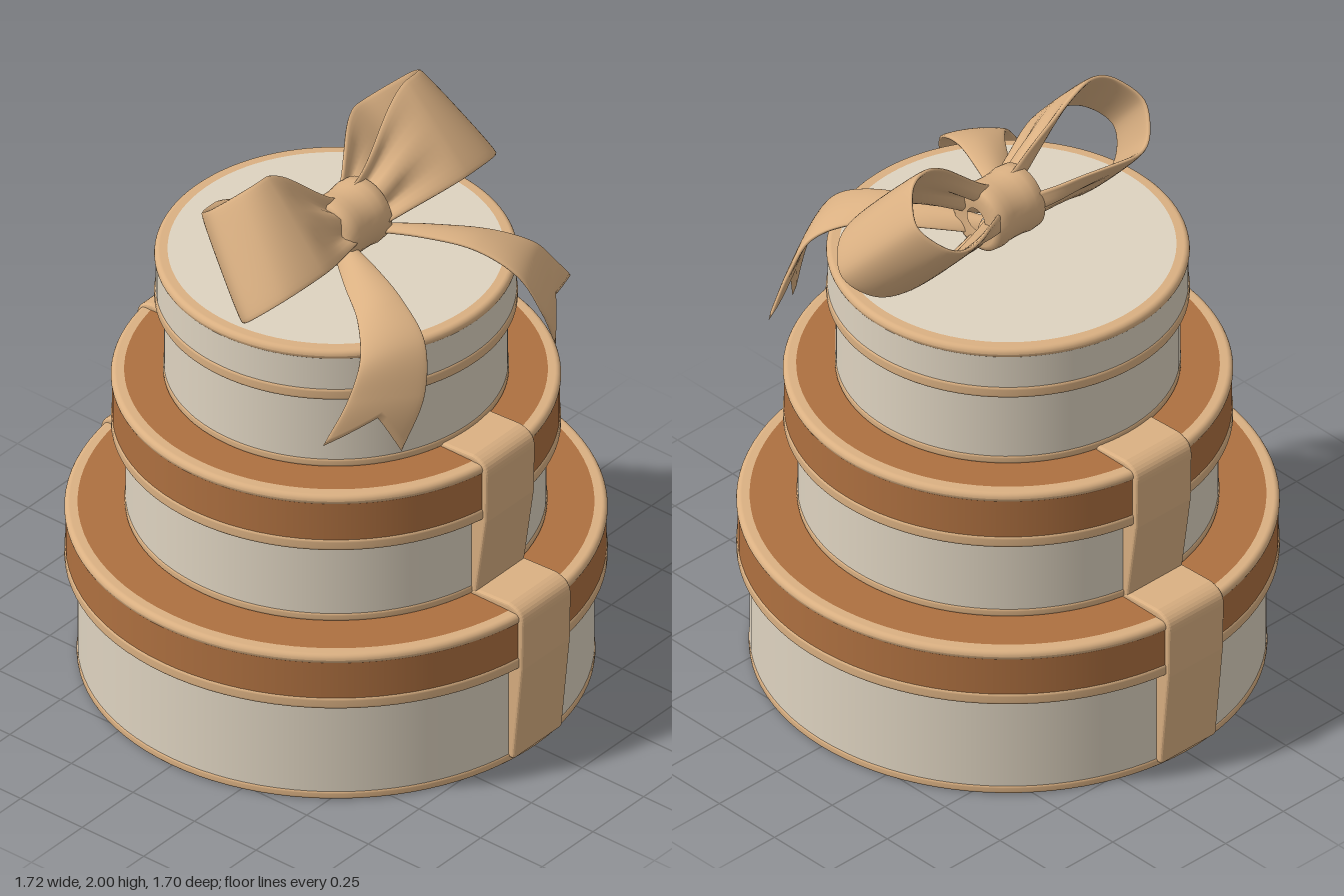
import * as THREE from 'three';
import { ParametricGeometry } from 'three/addons/geometries/ParametricGeometry.js';

const V3 = (x, y, z) => new THREE.Vector3(x, y, z);
const V2 = (x, y) => new THREE.Vector2(x, y);

export function createModel() {
  const cream = new THREE.MeshStandardMaterial({ color: 0xded3c0, name: 'cream card' });
  const brown = new THREE.MeshStandardMaterial({ color: 0xae7040, name: 'brown card' });
  const tan = new THREE.MeshStandardMaterial({ color: 0xdab082, name: 'tan ribbon' });

  const model = new THREE.Group();
  model.name = 'stackedGiftBoxes';
  const add = (parent, name, geometry, material) => {
    const mesh = new THREE.Mesh(geometry, material);
    mesh.name = name;
    parent.add(mesh);
    return mesh;
  };

  // Ring with rounded outer corners, running from rIn out to r
  const ring = (rIn, r, y0, y1, c) => {
    const pts = [V2(rIn, y0)];
    for (let i = 0; i <= 5; i++) {
      const a = (i / 5) * Math.PI / 2;
      pts.push(V2(r - c + c * Math.sin(a), y0 + c - c * Math.cos(a)));
    }
    for (let i = 0; i <= 5; i++) {
      const a = (i / 5) * Math.PI / 2;
      pts.push(V2(r - c + c * Math.cos(a), y1 - c + c * Math.sin(a)));
    }
    pts.push(V2(rIn, y1));
    return new THREE.LatheGeometry(pts, 96);
  };
  const wall = (r, y0, y1) => new THREE.LatheGeometry([V2(r, y0), V2(r, y1)], 96);
  const disc = (r, y, up) =>
    new THREE.CircleGeometry(r, 96).rotateX(up ? -Math.PI / 2 : Math.PI / 2).translate(0, y, 0);

  // One round box: body, base trim, lid band, lid rims and lid top
  function boxTier(name, r, lidR, y0, lidY, y1, lidColour) {
    const g = new THREE.Group();
    g.name = name;
    add(g, 'body', wall(r, y0 + 0.02, lidY + 0.02), cream);
    add(g, 'baseTrim', ring(r - 0.04, r + 0.003, y0, y0 + 0.032, 0.01), tan);
    add(g, 'base', disc(r - 0.01, y0, false), tan);
    add(g, 'lidBand', wall(lidR - 0.004, lidY + 0.035, y1 - 0.024), lidColour);
    add(g, 'lidLowerRim', ring(r - 0.01, lidR, lidY, lidY + 0.045, 0.012), tan);
    add(g, 'lidUpperRim', ring(lidR - 0.045, lidR, y1 - 0.036, y1, 0.018), tan);
    add(g, 'lidTop', disc(lidR - 0.042, y1 + 0.001, true), lidColour);
    model.add(g);
  }
  boxTier('bottomBox', 0.81, 0.852, 0, 0.37, 0.575, brown);
  boxTier('middleBox', 0.66, 0.706, 0.575, 0.872, 1.08, brown);
  boxTier('topBox', 0.54, 0.57, 1.08, 1.352, 1.54, cream);

  // Ribbon straps folded over the lid edge on both sides
  function strap(name, xIn, xTop, xBottom, y0, lidY, y1) {
    const s = new THREE.Shape();
    s.moveTo(xBottom - 0.06, y0);
    s.lineTo(xBottom - 0.01, y0);
    s.quadraticCurveTo(xBottom, y0, xBottom + 0.001, y0 + 0.02);
    s.lineTo(xTop - 0.003, lidY);
    s.lineTo(xTop, y1 - 0.06);
    s.quadraticCurveTo(xTop, y1 - 0.01, xTop - 0.06, y1);
    s.lineTo(xIn, y1 - 0.008);
    s.lineTo(xIn, y1 - 0.06);
    s.lineTo(xTop - 0.08, y1 - 0.06);
    const geo = new THREE.ExtrudeGeometry(s, {
      depth: 0.22, bevelThickness: 0.01, bevelSize: 0.01, bevelOffset: -0.01, bevelSegments: 3, curveSegments: 8,
    }).translate(0, 0, -0.11);
    add(model, name + 'Left', geo, tan);
    add(model, name + 'Right', geo.clone().rotateY(Math.PI), tan);
  }
  strap('bottomStrap', 0.62, 0.859, 0.822, 0.015, 0.37, 0.6);
  strap('middleStrap', 0.5, 0.713, 0.67, 0.58, 0.87, 1.1);

  // Thick cloth from a surface at(u, w), w from -1 to 1, with rounded edges
  function cloth(at, h, taper, slices) {
    const e = 0.004;
    const fix = (u) => Math.min(1, Math.max(0, u));
    return new ParametricGeometry((u, v, target) => {
      const a = v * Math.PI * 2;
      const w = Math.cos(a);
      const du = at(fix(u + e), w).sub(at(fix(u - e), w));
      const dw = at(u, w + e).sub(at(u, w - e));
      const n = du.cross(dw).normalize();
      const t = -h * Math.sign(Math.sin(a)) * Math.sqrt(Math.abs(Math.sin(a)));
      target.copy(at(u, w)).addScaledVector(n, taper ? t * Math.min(1, (1 - u) * 30) : t);
    }, slices, 32);
  }

  const bow = new THREE.Group();
  bow.name = 'bow';
  model.add(bow);

  // Loops: a teardrop path (z, p) widened along a slanted axis
  const across = V3(0.67, -0.74, 0);
  const rise = V3(0.74, 0.67, 0);
  const loopPath = new THREE.CatmullRomCurve3([
    [0.03, -0.035], [0.18, -0.09], [0.36, -0.14], [0.52, -0.105], [0.59, 0],
    [0.52, 0.105], [0.36, 0.14], [0.18, 0.09], [0.03, 0.035],
  ].map(([z, p]) => V3(z, p, 0)));
  const loopAt = (side) => (u, w) => {
    const q = loopPath.getPoint(u);
    const k = THREE.MathUtils.smoothstep(q.x, 0, 0.36);
    const fold = 0.022 * (1 - k) * Math.cos(w * Math.PI * 2);
    const tuck = 0.05 * (1 - w) * THREE.MathUtils.smoothstep(q.x, 0.3, 0.6);
    return V3(0.04, 1.665, 0).lerp(V3(0.017, 1.77, 0), k)
      .addScaledVector(rise, q.y + fold)
      .addScaledVector(across, w * (0.075 + 0.105 * k))
      .setZ(side * (q.x - tuck));
  };

  // Tails: a sheet between two edge curves, with a notched end
  const innerEdge = new THREE.CatmullRomCurve3([
    V3(0.06, 1.62, 0.03), V3(0.25, 1.635, 0.11), V3(0.42, 1.62, 0.18),
    V3(0.55, 1.55, 0.23), V3(0.6, 1.4, 0.29), V3(0.58, 1.225, 0.38)]);
  const outerEdge = new THREE.CatmullRomCurve3([
    V3(0.06, 1.59, 0.08), V3(0.22, 1.6, 0.22), V3(0.36, 1.59, 0.33),
    V3(0.45, 1.53, 0.43), V3(0.465, 1.43, 0.51), V3(0.45, 1.31, 0.61)]);
  const tailAt = (side) => (u, w) => {
    const s = u * (1 - 0.12 * (1 - Math.min(1, Math.abs(w))));
    const p = innerEdge.getPoint(s).lerp(outerEdge.getPoint(s), (w + 1) / 2);
    p.y += 0.02 * (1 - s) * Math.cos(w * Math.PI / 2);
    p.z *= side;
    return p;
  };

  for (const [side, label] of [[1, 'front'], [-1, 'back']]) {
    add(bow, label + 'Loop', cloth(loopAt(side), 0.011, false, 72), tan);
    add(bow, label + 'Tail', cloth(tailAt(side), 0.01, true, 60), tan);
  }

  // Knot: a cinched band around the middle of the bow
  const knotProfile = [
    [0.04, -0.1], [0.09, -0.107], [0.11, -0.095], [0.113, -0.06], [0.108, -0.03], [0.107, 0],
    [0.108, 0.03], [0.113, 0.06], [0.11, 0.095], [0.09, 0.107], [0.04, 0.1],
  ].map(([r, y]) => V2(r, y));
  const knot = add(bow, 'knot', new THREE.LatheGeometry(knotProfile, 32).rotateX(Math.PI / 2), tan);
  knot.position.set(0.04, 1.663, 0);

  return model;
}
